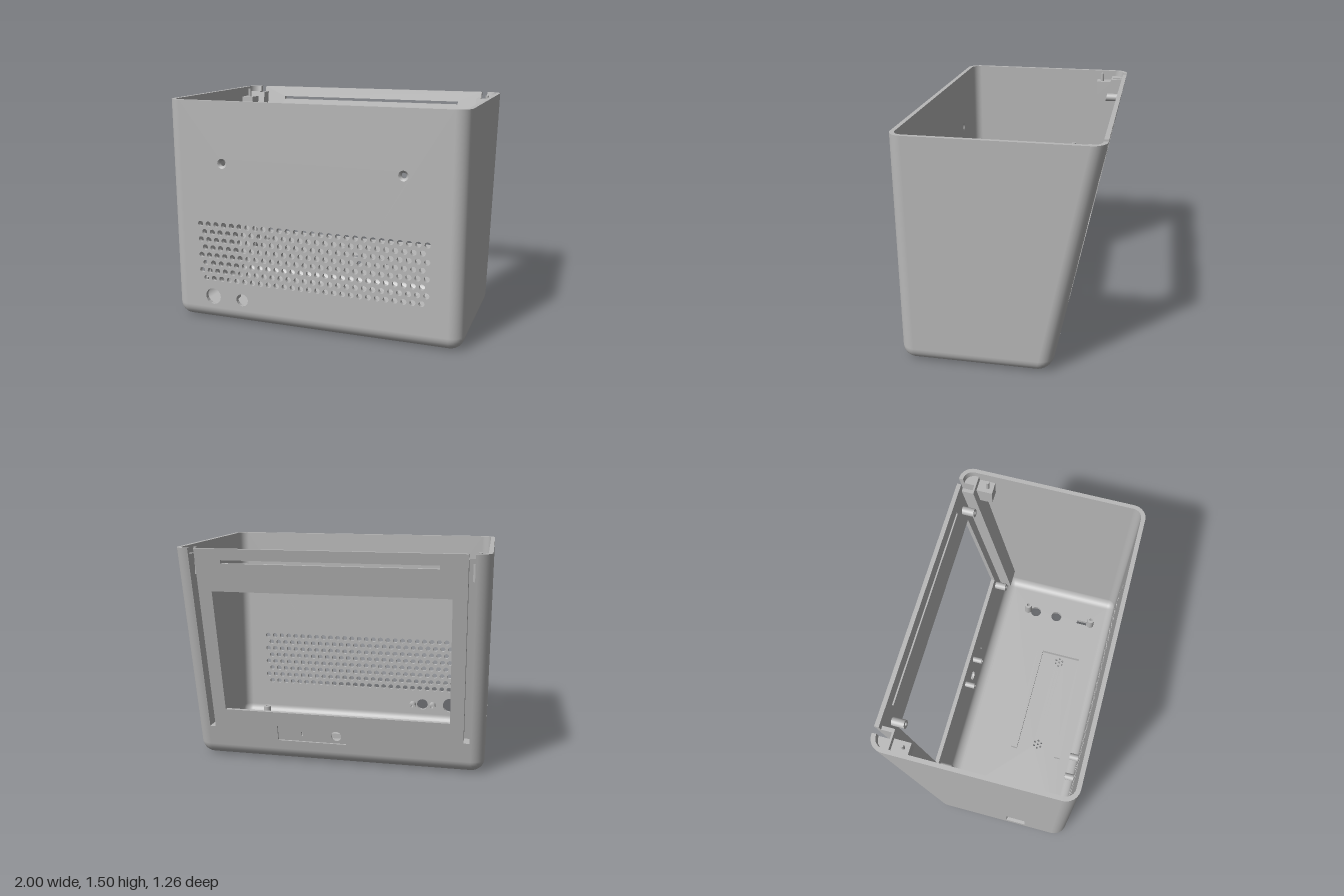
import * as THREE from 'three';

const R = 0.09, T = 0.028, H = 1.5;          // edge radius, wall thickness, height
const FRONT = 0.63, BACK = -0.333, LEAN = -0.198; // front plane, back plane at the floor, back lean
const X = 1 - R, ZF = FRONT - R;
const backCentre = (y) => BACK + R + LEAN * y;

const circle = (x, y, r) => new THREE.Path().absarc(x, y, r, 0, Math.PI * 2, true);
const rect = (x0, y0, x1, y1) => new THREE.Path([[x0, y0], [x0, y1], [x1, y1], [x1, y0]].map((p) => new THREE.Vector2(...p)));
const outline = (pts) => new THREE.Shape(pts.map((p) => new THREE.Vector2(...p)));

function plate(pts, holes = [], depth = T) {
  const shape = outline(pts);
  shape.holes.push(...holes);
  return new THREE.ExtrudeGeometry(shape, { depth, bevelEnabled: false, curveSegments: 8 });
}

function block(x0, x1, y0, y1, z0, z1) {
  return new THREE.BoxGeometry(x1 - x0, y1 - y0, z1 - z0).translate((x0 + x1) / 2, (y0 + y1) / 2, (z0 + z1) / 2);
}

// Hollow post along +y, standing on y = 0
function post(r, hole, h) {
  const pts = [[r, 0], [r, h], [r, h], [hole, h], [hole, h], [hole, h * 0.2], [hole, h * 0.2], [0, h * 0.2]];
  return new THREE.LatheGeometry(pts.map((p) => new THREE.Vector2(...p)), 20);
}

// Rounded bottom edges and upright corners, for the outer or inner skin
function roundedSkin(r, inner) {
  const m = 8, n = 8, cols = 4 * (m + 1);
  const pos = [], nor = [], idx = [];
  const sign = inner ? -1 : 1;
  for (let j = 0; j <= n + 1; j++) {
    const phi = Math.min(j / n, 1) * Math.PI / 2;
    const y = j > n ? H : R - r * Math.cos(phi);
    for (let i = 0; i < cols; i++) {
      const q = Math.floor(i / (m + 1));
      const a = (q + (i % (m + 1)) / m) * Math.PI / 2;
      const cx = q === 0 || q === 3 ? X : -X;
      const cz = q < 2 ? ZF : backCentre(y);
      const nx = Math.cos(a) * Math.sin(phi), nz = Math.sin(a) * Math.sin(phi);
      pos.push(cx + r * nx, y, cz + r * nz);
      const v = new THREE.Vector3(nx, -Math.cos(phi) - (q < 2 ? 0 : LEAN * nz), nz).normalize();
      nor.push(sign * v.x, sign * v.y, sign * v.z);
    }
  }
  for (let j = 0; j <= n; j++) for (let i = 0; i < cols; i++) {
    if (j === n && i % (m + 1) === m) continue; // flat panels fill these gaps
    const k = (i + 1) % cols;
    const a = j * cols + i, b = j * cols + k, c = b + cols, d = a + cols;
    if (inner) idx.push(a, c, d, a, b, c);
    else idx.push(a, d, c, a, c, b);
  }
  const g = new THREE.BufferGeometry();
  g.setAttribute('position', new THREE.Float32BufferAttribute(pos, 3));
  g.setAttribute('normal', new THREE.Float32BufferAttribute(nor, 3));
  g.setIndex(idx);
  return g;
}

export function createModel() {
  const model = new THREE.Group();
  model.name = 'enclosure';
  const grey = new THREE.MeshStandardMaterial({ color: 0xb8b8b8, side: THREE.DoubleSide });
  grey.name = 'grey plastic';
  const add = (name, geometry) => {
    const mesh = new THREE.Mesh(geometry, grey);
    mesh.name = name;
    model.add(mesh);
    return mesh;
  };
  // Back parts are drawn upright (z = 0 outside, +z inward), then sheared to the lean
  const shear = new THREE.Matrix4().set(1, 0, 0, 0, 0, 1, 0, 0, 0, LEAN, 1, BACK, 0, 0, 0, 1);
  const addBack = (name, geometry) => add(name, geometry.applyMatrix4(shear));

  // Rounded edges and the rim at the four corners
  add('outerRoundedEdges', roundedSkin(R, false));
  add('innerRoundedEdges', roundedSkin(R - T, true));
  for (let q = 0; q < 4; q++) {
    const rim = new THREE.RingGeometry(R - T, R, 8, 1, q * Math.PI / 2, Math.PI / 2).rotateX(-Math.PI / 2);
    add('cornerRim', rim.translate(q === 0 || q === 3 ? X : -X, H, q < 2 ? backCentre(H) : ZF));
  }

  // Front wall with vent grid, sockets and countersunk screw holes
  const frontHoles = [circle(-0.71, 0.17, 0.056), circle(-0.493, 0.167, 0.043)];
  for (let row = 0; row < 8; row++) {
    const odd = row % 2;
    for (let i = 0; i < 28 - odd; i++) {
      frontHoles.push(circle(-0.786 + (i + odd / 2) * 0.0576, 0.676 - row * 0.0541, 0.019));
    }
  }
  for (const x of [-0.61, 0.61]) {
    frontHoles.push(circle(x, 1.093, 0.033));
    const profile = [[0.033, T], [0.018, T - 0.012], [0.018, 0], [0.033, 0]].map((p) => new THREE.Vector2(...p));
    add('countersink', new THREE.LatheGeometry(profile, 16).rotateX(Math.PI / 2).translate(x, 1.093, FRONT - T));
  }
  add('frontWall', plate([[-X, R], [X, R], [X, H], [-X, H]], frontHoles).translate(0, 0, FRONT - T));
  for (const x of [-0.573, -0.417]) {
    add('socketPeg', post(0.025, 0.01, 0.065).rotateX(-Math.PI / 2).translate(x, 0.167, FRONT - T));
  }

  // Side walls; the right one has a cable opening
  const side = [[backCentre(R), R], [ZF, R], [ZF, H], [backCentre(H), H]];
  add('leftWall', plate(side).rotateY(-Math.PI / 2).translate(1, 0, 0));
  add('rightWall', plate(side, [rect(0.2, 0.15, 0.335, 0.31)]).rotateY(-Math.PI / 2).translate(-1 + T, 0, 0));

  // Floor with control holes and two clusters of pinholes (shape y is -z)
  const floorHoles = [circle(0.74, 0.02, 0.042), circle(0.74, -0.155, 0.042), rect(0.725, -0.41, 0.755, -0.33)];
  for (const x of [-0.355, 0.35]) {
    floorHoles.push(circle(x, -0.275, 0.008));
    for (let i = 0; i < 6; i++) {
      const a = i * Math.PI / 3;
      floorHoles.push(circle(x + 0.029 * Math.cos(a), -0.275 + 0.029 * Math.sin(a), 0.008));
    }
  }
  const zb = backCentre(0);
  add('floor', plate([[-X, -ZF], [X, -ZF], [X, -zb], [-X, -zb]], floorHoles).rotateX(-Math.PI / 2));
  for (const z of [-0.087, 0.44]) add('floorPost', post(0.029, 0.012, 0.1).translate(0.74, T, z));

  // Low rails holding a tray on the floor
  add('rearRail', block(-0.43, 0.403, T, 0.065, 0.08, 0.125));
  add('frontRail', block(-0.43, 0.403, T, 0.065, 0.425, 0.47));
  add('endRail', block(0.403, 0.43, T, 0.065, 0.08, 0.47));

  // Leaning back wall: screen window, long slit, control recess, slots open at the top
  const half = [[X, R], [X, H], [0.9, H], [0.9, 0.23], [0.86, 0.23], [0.86, H]];
  const backPts = [...half, ...half.map(([x, y]) => [-x, y]).reverse()];
  addBack('backWall', plate(backPts, [
    rect(-0.77, 0.37, 0.77, 1.22), rect(-0.69, 1.405, 0.69, 1.427), rect(-0.07, 0.155, 0.41, 0.265),
  ]));
  addBack('controlPlate', plate([[-0.07, 0.155], [0.41, 0.155], [0.41, 0.265], [-0.07, 0.265]],
    [circle(0, 0.21, 0.036), rect(0.235, 0.195, 0.245, 0.225)], 0.014).translate(0, 0, T - 0.014));
  for (const x of [-0.105, 0.105]) {
    addBack('controlPeg', post(0.021, 0.009, 0.07).rotateX(Math.PI / 2).translate(x, 0.3, T));
  }

  for (const s of [-1, 1]) {
    // Screen mounting pegs near the window corners
    for (const y of [0.3, 1.34]) {
      addBack('screenPeg', post(0.028, 0.012, 0.082).rotateX(Math.PI / 2).translate(s * 0.765, y, T));
    }
    // Channel behind each slot
    const channel = [
      [0.835, 0.86, 0.2, 1.46, T, 0.108], [0.9, 0.972, 0.2, 1.46, T, 0.108],
      [0.86, 0.9, 0.2, 1.46, 0.096, 0.108], [0.86, 0.9, 0.2, 0.23, T, 0.096],
    ];
    for (const [x0, x1, ...rest] of channel) {
      addBack('slotChannel', block(Math.min(s * x0, s * x1), Math.max(s * x0, s * x1), ...rest));
    }
    // Lid block with its pin
    add('lidBlock', block(s * 0.929 - 0.044, s * 0.929 + 0.044, 1.32, 1.43, -0.52, -0.4));
    add('lidPin', new THREE.CylinderGeometry(0.012, 0.012, 0.06, 12).translate(s * 0.925, 1.46, -0.44));
  }
  return model;
}
